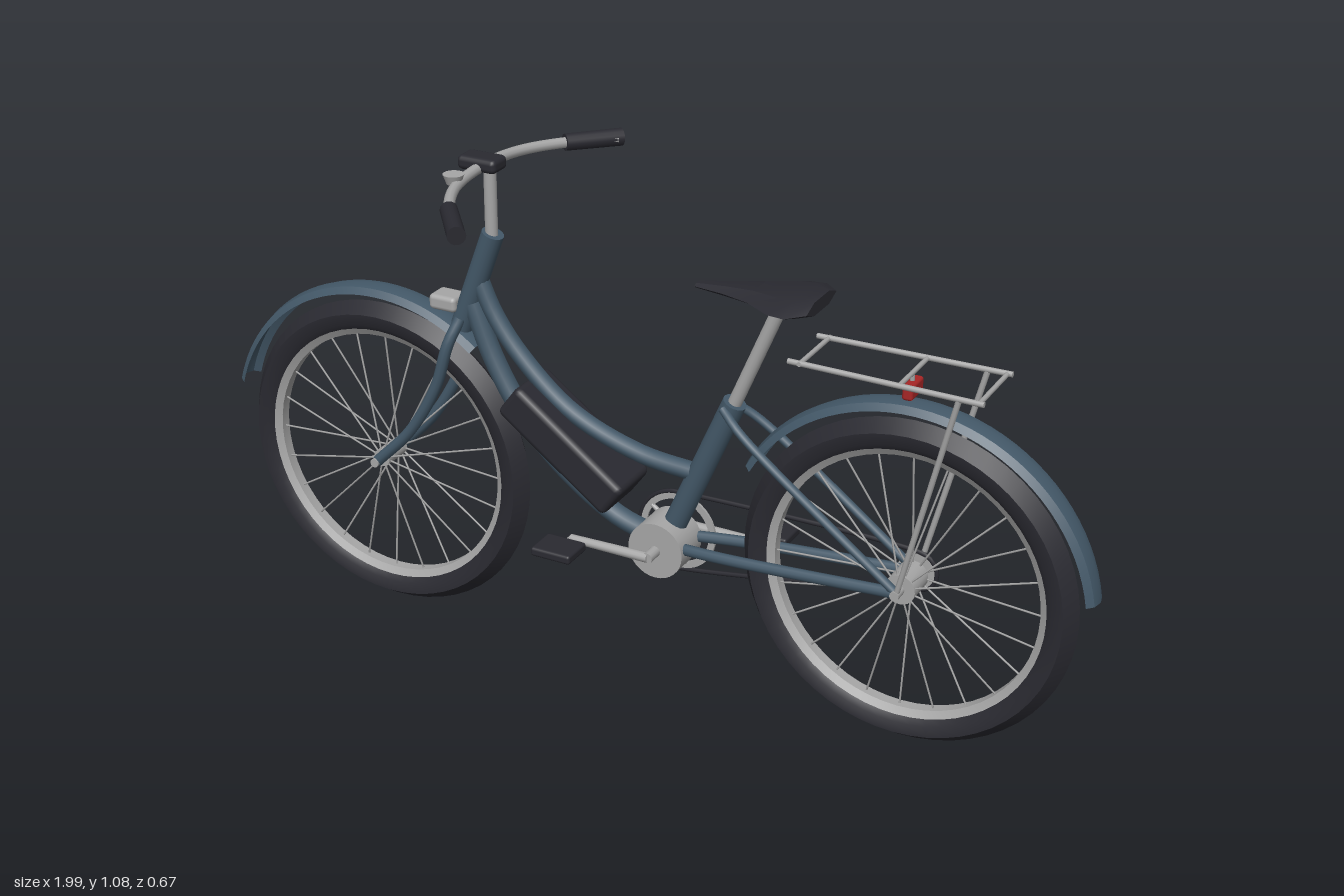
import * as THREE from 'three';
import { toCreasedNormals } from 'three/addons/utils/BufferGeometryUtils.js';
import { RoundedBoxGeometry } from 'three/addons/geometries/RoundedBoxGeometry.js';

const V = (x, y, z = 0) => new THREE.Vector3(x, y, z);
const mat = (name, color, side = THREE.FrontSide) => {
  const m = new THREE.MeshStandardMaterial({ color, side });
  m.name = name;
  return m;
};

export function createModel() {
  const bike = new THREE.Group();
  bike.name = 'bicycle';
  const paint = mat('slate blue paint', 0x435868, THREE.DoubleSide);
  const metal = mat('light grey metal', 0xa6a6a6);
  const rubber = mat('dark rubber', 0x2a2a31);
  const red = mat('red lens', 0xa82626);

  const add = (name, geo, material, parent = bike) => {
    const m = new THREE.Mesh(geo, material);
    m.name = name;
    parent.add(m);
    return m;
  };
  // straight round bar between two points
  const rod = (name, a, b, r1, r2, material, parent = bike, sides = 12) => {
    const d = b.clone().sub(a);
    const m = add(name, new THREE.CylinderGeometry(r2, r1, d.length(), sides), material, parent);
    m.position.copy(a).addScaledVector(d, 0.5);
    m.quaternion.setFromUnitVectors(V(0, 1, 0), d.normalize());
    return m;
  };
  // bent round bar through points
  const bend = (name, pts, r, material, closed = false, segs = 28, sides = 10) =>
    add(name, new THREE.TubeGeometry(new THREE.CatmullRomCurve3(pts, closed), segs, r, sides, closed), material);
  const box = (name, w, h, d, radius, pos, material) => {
    const m = add(name, new RoundedBoxGeometry(w, h, d, 2, radius), material);
    m.position.copy(pos);
    return m;
  };
  // ring profile [radius, z] turned about the z axis
  const turn = (profile, segs, start = 0, length = Math.PI * 2) => toCreasedNormals(
    new THREE.LatheGeometry(profile.map(p => new THREE.Vector2(...p)), segs, start, length)
      .rotateX(Math.PI / 2), 0.6);

  const AXLE = 0.358, FRONT = -0.617, REAR = 0.6;
  const CX = 0.066, CY = 0.313; // crank centre

  // wheels
  const wheel = (name, x, hubR) => {
    const g = new THREE.Group();
    g.name = name;
    g.position.set(x, AXLE, 0);
    bike.add(g);
    add('tyre', turn([[0.292, -0.018], [0.308, -0.03], [0.332, -0.032], [0.355, 0], [0.332, 0.032],
      [0.308, 0.03], [0.292, 0.018], [0.292, -0.018]], 56), rubber, g);
    add('rim', turn([[0.281, -0.012], [0.296, -0.021], [0.296, 0.021], [0.281, 0.012], [0.281, -0.012]], 56), metal, g);
    rod('hub', V(0, 0, -0.035), V(0, 0, 0.035), hubR, hubR, metal, g, 20);
    rod('axle', V(0, 0, -0.065), V(0, 0, 0.065), 0.01, 0.01, metal, g);
    for (let i = 0; i < 24; i++) {
      const a = i / 24 * Math.PI * 2, s = i % 2 ? 1 : -1;
      rod('spoke', V(Math.cos(a) * hubR * 0.8, Math.sin(a) * hubR * 0.8, s * 0.03),
        V(Math.cos(a) * 0.284, Math.sin(a) * 0.284, 0), 0.0022, 0.0022, metal, g, 5);
    }
  };
  wheel('frontWheel', FRONT, 0.02);
  wheel('rearWheel', REAR, 0.032);

  // mudguards
  const mudguard = (name, x, from, to) => {
    const d = Math.PI / 180;
    add(name, turn([[0.378, -0.032], [0.392, -0.022], [0.397, 0], [0.392, 0.022], [0.378, 0.032]],
      36, (from + 90) * d, (to - from) * d), paint).position.set(x, AXLE, 0);
  };
  mudguard('frontMudguard', FRONT, 52, 164.5);
  mudguard('rearMudguard', REAR, 9, 152);

  // frame tubes
  rod('headTube', V(-0.42, 0.7), V(-0.337, 0.922), 0.024, 0.024, paint, bike, 16);
  bend('topTube', [V(-0.375, 0.82), V(-0.34, 0.745), V(-0.28, 0.665), V(-0.16, 0.562), V(0, 0.502), V(0.15, 0.487)], 0.02, paint);
  bend('downTube', [V(-0.39, 0.76), V(-0.345, 0.645), V(-0.275, 0.53), V(-0.18, 0.43), V(-0.05, 0.345), V(CX, CY)], 0.023, paint);
  rod('seatTube', V(CX, CY), V(0.217, 0.665), 0.025, 0.025, paint, bike, 16);
  for (const s of [1, -1]) {
    bend('forkBlade', [V(-0.412, 0.725, s * 0.018), V(-0.43, 0.67, s * 0.042), V(-0.46, 0.57, s * 0.047),
      V(-0.53, 0.45, s * 0.048), V(FRONT, AXLE, s * 0.05)], 0.0125, paint);
    bend('chainStay', [V(CX, CY + 0.005, s * 0.025), V(0.22, 0.33, s * 0.042), V(REAR, AXLE, s * 0.05)], 0.012, paint);
    bend('seatStay', [V(0.2, 0.655, s * 0.02), V(0.25, 0.62, s * 0.042), V(REAR, AXLE, s * 0.052)], 0.0095, paint);
  }

  // battery on the down tube
  box('battery', 0.31, 0.084, 0.132, 0.014, V(-0.153, 0.494), rubber).rotation.z = -0.637;

  // steering
  rod('stem', V(-0.34, 0.9), V(-0.34, 1.06), 0.0135, 0.0135, metal, bike, 16);
  box('display', 0.09, 0.03, 0.055, 0.011, V(-0.358, 1.072), rubber);
  bend('handlebar', [V(-0.217, 1.05, -0.31), V(-0.297, 1.055, -0.22), V(-0.345, 1.06, -0.12), V(-0.355, 1.065),
    V(-0.345, 1.06, 0.12), V(-0.297, 1.055, 0.22), V(-0.217, 1.05, 0.31)], 0.0115, metal, false, 48);
  for (const s of [1, -1])
    rod('grip', V(-0.295, 1.055, s * 0.225), V(-0.215, 1.05, s * 0.325), 0.018, 0.019, rubber, bike, 14);
  rod('bell', V(-0.358, 1.06, 0.107), V(-0.358, 1.08, 0.107), 0.015, 0.022, metal, bike, 18);
  box('headlight', 0.065, 0.034, 0.055, 0.01, V(-0.452, 0.752), metal);

  // saddle: cross-sections [x, half width, bottom, top]
  rod('seatPost', V(0.205, 0.635), V(0.315, 0.9), 0.0145, 0.0145, metal, bike, 16);
  const sections = [[0.131, 0.014, 0.897, 0.907], [0.2, 0.03, 0.895, 0.916], [0.265, 0.055, 0.894, 0.924],
    [0.325, 0.096, 0.894, 0.929], [0.362, 0.101, 0.894, 0.93], [0.396, 0.07, 0.9, 0.928]];
  const pos = [], idx = [], n = 6;
  for (const [x, w, b, t] of sections) {
    const m = (b + t) / 2;
    for (const [z, y] of [[1, m], [0.5, t], [-0.5, t], [-1, m], [-0.5, b], [0.5, b]]) pos.push(x, y, z * w);
  }
  const last = (sections.length - 1) * n;
  for (let i = 0; i < last; i += n)
    for (let j = 0; j < n; j++) {
      const k = (j + 1) % n;
      idx.push(i + j, i + n + j, i + n + k, i + j, i + n + k, i + k);
    }
  for (let k = 1; k < n - 1; k++) idx.push(0, k, k + 1, last, last + k + 1, last + k);
  const saddle = new THREE.BufferGeometry();
  saddle.setAttribute('position', new THREE.Float32BufferAttribute(pos, 3));
  saddle.setIndex(idx);
  add('saddle', toCreasedNormals(saddle, 0.5), rubber);

  // motor, chainring and chain
  rod('motor', V(CX, CY, -0.038), V(CX, CY, 0.052), 0.062, 0.062, metal, bike, 32);
  rod('crankAxle', V(CX, CY, -0.088), V(CX, CY, 0.088), 0.012, 0.012, metal);
  add('chainring', turn([[0.073, -0.003], [0.088, -0.003], [0.088, 0.003], [0.073, 0.003], [0.073, -0.003]], 40), metal)
    .position.set(CX, CY, -0.053);
  for (let i = 0; i < 5; i++) {
    const a = i / 5 * Math.PI * 2;
    rod('chainringArm', V(CX, CY, -0.053), V(CX + 0.077 * Math.cos(a), CY + 0.077 * Math.sin(a), -0.053), 0.007, 0.005, metal, bike, 8);
  }
  rod('sprocket', V(REAR, AXLE, -0.056), V(REAR, AXLE, -0.05), 0.04, 0.04, metal, bike, 24);
  const loop = [];
  for (let a = 88; a <= 275; a += 17) loop.push(V(CX + 0.09 * Math.cos(a * Math.PI / 180), CY + 0.09 * Math.sin(a * Math.PI / 180), -0.053));
  for (let a = -85; a <= 88; a += 34) loop.push(V(REAR + 0.043 * Math.cos(a * Math.PI / 180), AXLE + 0.043 * Math.sin(a * Math.PI / 180), -0.053));
  bend('chain', loop, 0.005, rubber, true, 120, 6);

  // cranks and pedals
  for (const s of [1, -1]) {
    const px = CX - s * 0.18;
    rod('crank', V(CX, CY, s * 0.083), V(px, CY, s * 0.085), 0.011, 0.009, metal);
    rod('pedalAxle', V(px, CY, s * 0.08), V(px, CY, s * 0.12), 0.006, 0.006, metal);
    box('pedal', 0.092, 0.02, 0.074, 0.006, V(px, CY, s * 0.138), rubber);
  }

  // luggage rack and tail light
  for (const s of [1, -1]) {
    rod('rackRail', V(0.36, 0.813, s * 0.068), V(0.76, 0.813, s * 0.076), 0.006, 0.006, metal, bike, 8);
    rod('rackStay', V(0.71, 0.81, s * 0.075), V(0.603, 0.365, s * 0.058), 0.006, 0.006, metal, bike, 8);
  }
  for (const x of [0.385, 0.59, 0.75])
    rod('rackCrossbar', V(x, 0.813, -0.074), V(x, 0.813, 0.074), 0.005, 0.005, metal, bike, 8);
  rod('lightBracket', V(0.588, 0.813), V(0.588, 0.75), 0.005, 0.005, metal, bike, 8);
  box('tailLight', 0.022, 0.032, 0.06, 0.006, V(0.59, 0.779), red);

  return bike;
}
